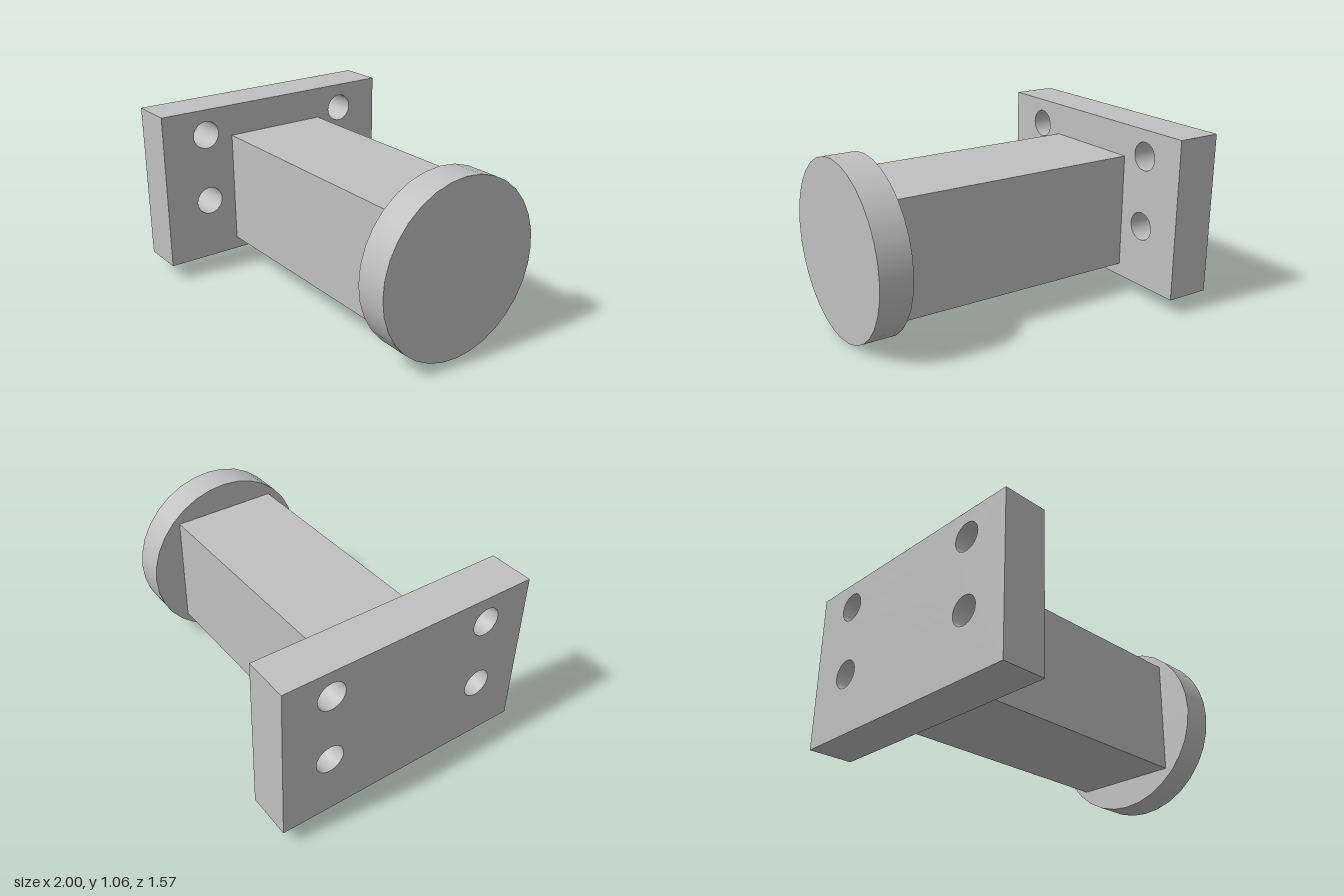
import * as THREE from 'three';
import { toCreasedNormals } from 'three/addons/utils/BufferGeometryUtils.js';

export function createModel() {
  const group = new THREE.Group();
  const grey = new THREE.MeshStandardMaterial({ color: 0xc0c0c0 });
  grey.name = 'grey metal';

  function add(name, geometry, x, y, z) {
    const mesh = new THREE.Mesh(geometry, grey);
    mesh.name = name;
    mesh.position.set(x, y, z);
    group.add(mesh);
  }

  // Mounting plate with four bolt holes, extruded along x
  const [halfWidth, bottom, top] = [0.787, 0.1, 1.06];
  const outline = new THREE.Shape();
  outline.moveTo(-halfWidth, bottom);
  outline.lineTo(halfWidth, bottom);
  outline.lineTo(halfWidth, top);
  outline.lineTo(-halfWidth, top);
  outline.closePath();
  for (const side of [-1, 1]) {
    for (const y of [0.473, 0.902]) {
      outline.holes.push(new THREE.Path().absarc(side * 0.5, y, 0.085, 0, Math.PI * 2, true));
    }
  }
  const plate = new THREE.ExtrudeGeometry(outline, { depth: 0.27, bevelEnabled: false, curveSegments: 16 });
  plate.rotateY(Math.PI / 2);
  add('mountingPlate', toCreasedNormals(plate, 0.6), -1, 0, 0);

  // Square beam between plate and disc
  add('beam', new THREE.BoxGeometry(1.535, 0.69, 0.65), 0.0375, 0.521, -0.003);

  // End disc
  const disc = new THREE.CylinderGeometry(0.519, 0.519, 0.193, 32);
  disc.rotateZ(-Math.PI / 2);
  add('endDisc', disc, 0.9035, 0.519, -0.003);

  return group;
}
